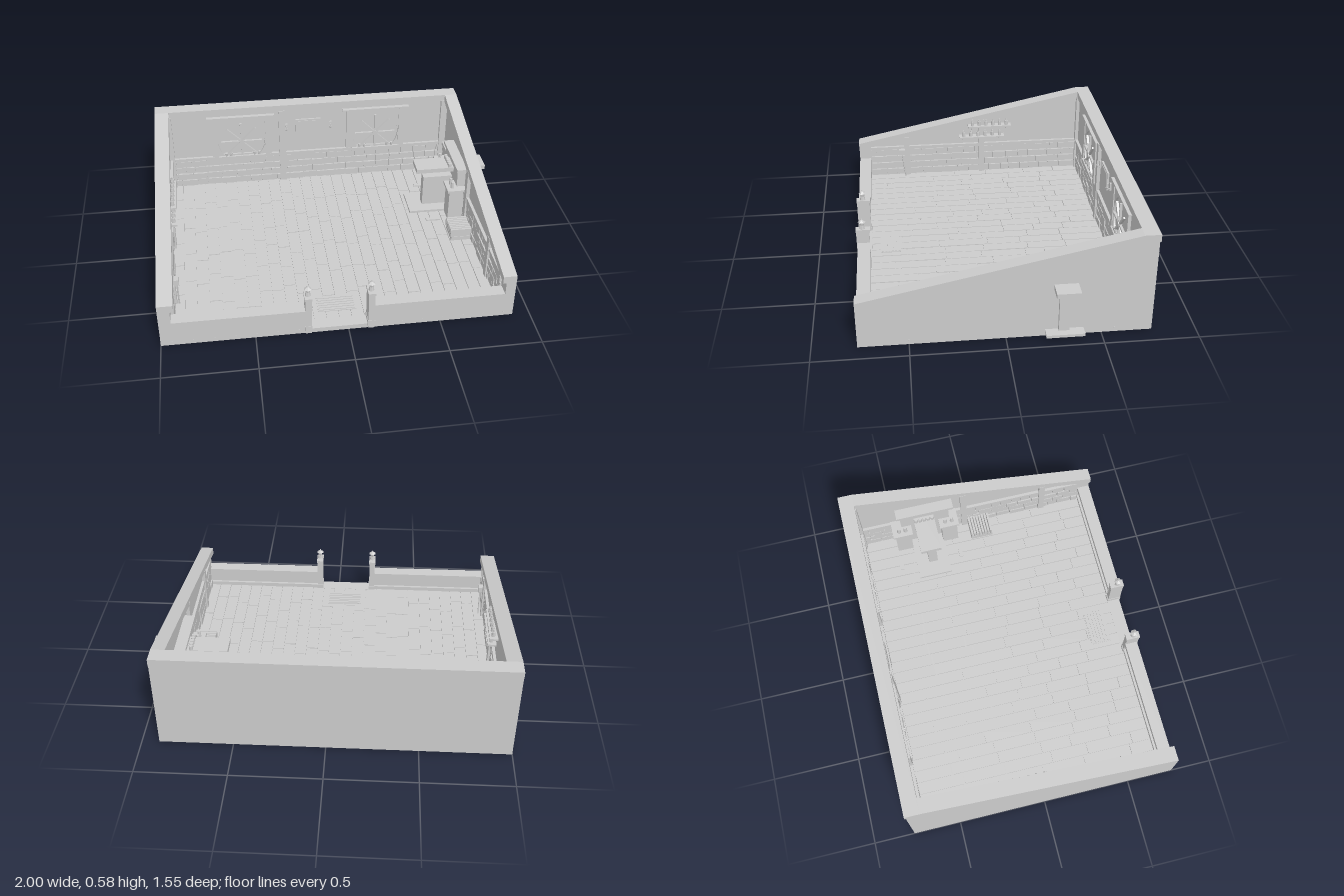
import * as THREE from 'three';

export function createModel() {
  const root = new THREE.Group();
  root.name = 'tavernRoom';
  const mat = new THREE.MeshStandardMaterial({ color: 0xcccccc, flatShading: true, side: THREE.DoubleSide });
  let seed = 7;
  const rnd = () => (seed = (seed * 16807) % 2147483647) / 2147483647;

  const add = (name, geo, parent = root) => {
    const m = new THREE.Mesh(geo, mat);
    m.name = name;
    parent.add(m);
    return m;
  };
  // Box given by its limits on each axis
  const box = (name, x0, x1, y0, y1, z0, z1, parent = root) => {
    const m = add(name, new THREE.BoxGeometry(x1 - x0, y1 - y0, z1 - z0), parent);
    m.position.set((x0 + x1) / 2, (y0 + y1) / 2, (z0 + z1) / 2);
    return m;
  };
  const cyl = (name, r0, r1, h, x, y, z, parent = root, sides = 8) => {
    const m = add(name, new THREE.CylinderGeometry(r0, r1, h, sides), parent);
    m.position.set(x, y, z);
    return m;
  };
  const group = (name, parent = root) => {
    const g = new THREE.Group();
    g.name = name;
    parent.add(g);
    return g;
  };
  // Profile in (z, y), swept from x0 to x1
  const sweepX = (name, pts, x0, x1) => {
    const shape = new THREE.Shape(pts.map(p => new THREE.Vector2(...p)));
    const geo = new THREE.ExtrudeGeometry(shape, { depth: x1 - x0, bevelEnabled: false });
    geo.rotateY(-Math.PI / 2).translate(x1, 0, 0);
    return add(name, geo);
  };

  const FLOOR = 0.025;

  // Base and shell walls
  box('base', -1, 0.905, 0, 0.018, -0.768, 0.765);
  box('backWall', -1, 0.905, 0, 0.55, -0.768, -0.705);
  box('backWallBeam', -1, 0.905, 0.535, 0.577, -0.775, -0.69);
  const wall = [[-0.768, 0], [0.765, 0], [0.765, 0.25], [-0.69, 0.56], [-0.768, 0.56]];
  const cap = [[-0.768, 0.535], [-0.69, 0.53], [0.765, 0.225], [0.765, 0.268], [-0.69, 0.577], [-0.768, 0.577]];
  sweepX('leftEndWall', wall, -1, -0.935);
  sweepX('leftEndSlopedBeam', cap, -1, -0.915);
  sweepX('rightEndWall', wall, 0.85, 0.905);
  sweepX('rightEndSlopedBeam', cap, 0.83, 0.905);

  // Low front wall on both sides of the entrance
  for (const [x0, x1] of [[-0.935, -0.22], [0.13, 0.85]]) {
    box('frontWall', x0, x1, 0, 0.125, 0.71, 0.765);
    box('frontWallCoping', x0, x1, 0.12, 0.15, 0.693, 0.765);
    box('frontWallSkirting', x0, x1, FLOOR, 0.05, 0.695, 0.712);
  }
  box('threshold', -0.2, 0.11, 0, 0.027, 0.69, 0.765);

  // Gate posts topped by little lanterns
  for (const x of [-0.216, 0.122]) {
    const g = group('gatePost');
    box('post', x - 0.017, x + 0.017, 0, 0.226, 0.695, 0.77, g);
    box('postCap', x - 0.02, x + 0.02, 0.222, 0.237, 0.69, 0.772, g);
    box('postPlinth', x - 0.02, x + 0.02, 0.015, 0.05, 0.69, 0.772, g);
    cyl('lanternFoot', 0.012, 0.016, 0.025, x, 0.248, 0.735, g);
    cyl('lanternBody', 0.015, 0.011, 0.024, x, 0.27, 0.735, g, 6);
    cyl('lanternRoof', 0.004, 0.022, 0.014, x, 0.287, 0.735, g, 6);
    cyl('lanternTip', 0.002, 0.005, 0.008, x, 0.297, 0.735, g, 6);
  }

  // Staggered floor boards
  const floor = group('floor');
  const rows = 26, bw = 1.785 / rows;
  for (let i = 0; i < rows; i++) {
    const x = -0.935 + i * bw;
    let z = -0.705;
    while (z < 0.7) {
      let e = z + 0.17 + rnd() * 0.12;
      if (e > 0.62) e = 0.71;
      box('floorBoard', x + 0.0025, x + bw - 0.0025, 0.01, FLOOR + rnd() * 0.002, z + 0.0025, e - 0.0025, floor);
      z = e;
    }
  }

  // Slatted door mat
  const doorMat = group('doorMat');
  box('matBoard', -0.15, 0.06, FLOOR, 0.03, 0.52, 0.64, doorMat);
  for (let i = 0; i < 6; i++) box('matSlat', -0.145, 0.055, 0.03, 0.034, 0.525 + i * 0.019, 0.537 + i * 0.019, doorMat);

  // Stone wainscot laid along local x, facing local +z, with a top rail
  const wainscot = (length, x, z, ry) => {
    const g = group('wainscot');
    g.position.set(x, 0, z);
    g.rotation.y = ry;
    const h = 0.047;
    for (let r = 0; r < 4; r++) {
      let u = 0;
      while (u < length - 0.001) {
        let e = u + 0.055 + rnd() * 0.05;
        if (r % 2 && u === 0) e = 0.04;
        if (length - e < 0.04) e = length;
        const y = FLOOR + r * h;
        box('stone', u + 0.003, e - 0.003, y + 0.003, y + h - 0.003, -0.01, 0.008 + rnd() * 0.007, g);
        u = e;
      }
    }
    box('wainscotRail', 0, length, 0.214, 0.234, -0.01, 0.017, g);
  };
  wainscot(1.785, -0.935, -0.705, 0);
  wainscot(1.38, -0.935, 0.69, Math.PI / 2);
  wainscot(1.38, 0.85, -0.69, -Math.PI / 2);

  // Timber uprights
  for (const [a, b] of [[-0.935, -0.905], [-0.235, -0.195], [0.81, 0.85]]) box('backTimber', a, b, FLOOR, 0.54, -0.71, -0.684);
  for (const [z, top] of [[-0.05, 0.41], [0.45, 0.3]]) {
    box('leftEndTimber', -0.94, -0.912, FLOOR, top, z - 0.018, z + 0.018);
    box('rightEndTimber', 0.828, 0.855, FLOOR, top, z - 0.018, z + 0.018);
  }

  // Round spoked windows in square frames
  for (const x of [-0.475, 0.385]) {
    const g = group('roundWindow');
    g.position.set(x, 0.335, -0.705);
    const plate = new THREE.Shape();
    plate.moveTo(-0.17, -0.1).lineTo(0.17, -0.1).lineTo(0.17, 0.175).lineTo(-0.17, 0.175);
    plate.closePath();
    const hole = new THREE.Path();
    const start = Math.asin(-0.09 / 0.148);
    hole.absarc(0, 0, 0.148, start, Math.PI - start, false);
    hole.closePath();
    plate.holes.push(hole);
    add('windowSurround', new THREE.ExtrudeGeometry(plate, { depth: 0.012, bevelEnabled: false, curveSegments: 28 }), g);
    for (let i = 0; i < 4; i++) {
      const s = box('spoke', -0.13, 0.13, -0.006, 0.006, 0.004, 0.018, g);
      s.rotation.z = i * Math.PI / 4;
    }
    const hub = cyl('hub', 0.016, 0.016, 0.022, 0, 0, 0.011, g, 12);
    hub.rotation.x = Math.PI / 2;
    for (const s of [-1, 1]) box('windowJamb', s * 0.17 - 0.018, s * 0.17 + 0.018, -0.1, 0.178, 0, 0.018, g);
    box('windowHead', -0.213, 0.213, 0.175, 0.183, 0, 0.025, g);
    box('windowSill', -0.15, 0.15, -0.125, -0.1, 0, 0.025, g);
    for (const px of [-0.1, -0.07, 0.08, 0.11]) cyl('sillPot', 0.009, 0.006, 0.022, px, -0.09, 0.014, g);
  }

  // Wall picture and sconces
  box('pictureFrame', -0.127, 0.032, 0.355, 0.465, -0.706, -0.694);
  box('picturePanel', -0.117, 0.022, 0.365, 0.455, -0.7, -0.691);
  for (const x of [-0.188, 0.094]) {
    const g = group('sconce');
    box('sconcePlate', x - 0.008, x + 0.008, 0.39, 0.436, -0.706, -0.695, g);
    cyl('sconceCup', 0.009, 0.005, 0.012, x, 0.405, -0.682, g);
    cyl('candle', 0.004, 0.004, 0.024, x, 0.42, -0.682, g);
    box('sconceArm', x - 0.003, x + 0.003, 0.398, 0.404, -0.7, -0.682, g);
  }

  // Bottle shelves on the left end wall
  const shelves = group('bottleShelves');
  for (const [y, z0, z1] of [[0.285, -0.2, 0.1], [0.36, -0.245, 0.04]]) {
    box('shelf', -0.936, -0.886, y, y + 0.01, z0, z1, shelves);
    for (let i = 0; i < 6; i++) {
      const z = z0 + 0.03 + i * (z1 - z0 - 0.06) / 5;
      cyl('bottle', 0.01, 0.011, 0.028, -0.907, y + 0.024, z, shelves);
      cyl('bottleNeck', 0.004, 0.006, 0.014, -0.907, y + 0.045, z, shelves);
    }
    for (const z of [z0 + 0.03, z1 - 0.03]) box('shelfBracket', -0.936, -0.9, y - 0.022, y, z - 0.005, z + 0.005, shelves);
  }

  // Leaning tool near the front corner
  const tool = group('leaningTool');
  const shaft = cyl('shaft', 0.005, 0.005, 0.18, -0.9, 0.115, 0.475, tool, 6);
  shaft.rotation.x = 0.12;
  box('toolHead', -0.915, -0.887, 0.185, 0.22, 0.465, 0.505, tool);

  // Long table passing through the right end wall
  const table = group('wallTable');
  box('tableTop', 0.57, 0.995, 0.29, 0.317, -0.368, -0.243, table);
  box('tablePedestal', 0.62, 0.925, 0.04, 0.24, -0.327, -0.272, table);
  box('tableFoot', 0.53, 0.963, 0.024, 0.04, -0.405, -0.203, table);

  // Hearth bench and mantel behind the table
  const hearth = group('hearth');
  for (const [z0, z1] of [[-0.51, -0.39], [-0.22, -0.1]]) {
    box('hearthPier', 0.748, 0.852, FLOOR, 0.225, z0 + 0.012, z1 - 0.012, hearth);
    box('hearthPierTop', 0.735, 0.852, 0.225, 0.24, z0, z1, hearth);
    for (const z of [z0 + 0.04, z1 - 0.04]) cyl('jug', 0.009, 0.012, 0.04, 0.77, 0.26, z, hearth);
  }
  box('hearthBack', 0.8, 0.852, FLOOR, 0.355, -0.45, -0.15, hearth);
  box('mantel', 0.787, 0.852, 0.355, 0.375, -0.47, -0.12, hearth);
  for (let i = 0; i < 5; i++) cyl('mug', 0.011, 0.011, 0.025, 0.775, 0.329, -0.355 + i * 0.025, hearth);
  for (const z of [-0.5, -0.12]) box('floorPlate', 0.615, 0.7, FLOOR, 0.034, z - 0.012, z + 0.012, hearth);

  // Stacked firewood rack
  const rack = group('slattedRack');
  box('rackBase', 0.72, 0.852, FLOOR, 0.05, -0.03, 0.105, rack);
  for (let i = 0; i < 8; i++) box('rackSlat', 0.715, 0.852, 0.05, 0.1, -0.03 + i * 0.0172, -0.018 + i * 0.0172, rack);

  // Small studs round the foot of the walls
  const studs = group('studs');
  for (let i = 0; i < 17; i++) {
    const x = -0.94 + i * 0.112;
    if (x > -0.24 && x < 0.15) continue;
    cyl('stud', 0.004, 0.004, 0.006, x, 0.025, 0.765, studs, 6).rotation.x = Math.PI / 2;
  }
  for (const x of [-1, 0.905]) for (const z of [-0.57, -0.3, 0.23, 0.5])
    cyl('stud', 0.004, 0.004, 0.004, x, 0.025, z, studs, 6).rotation.z = Math.PI / 2;

  return root;
}
